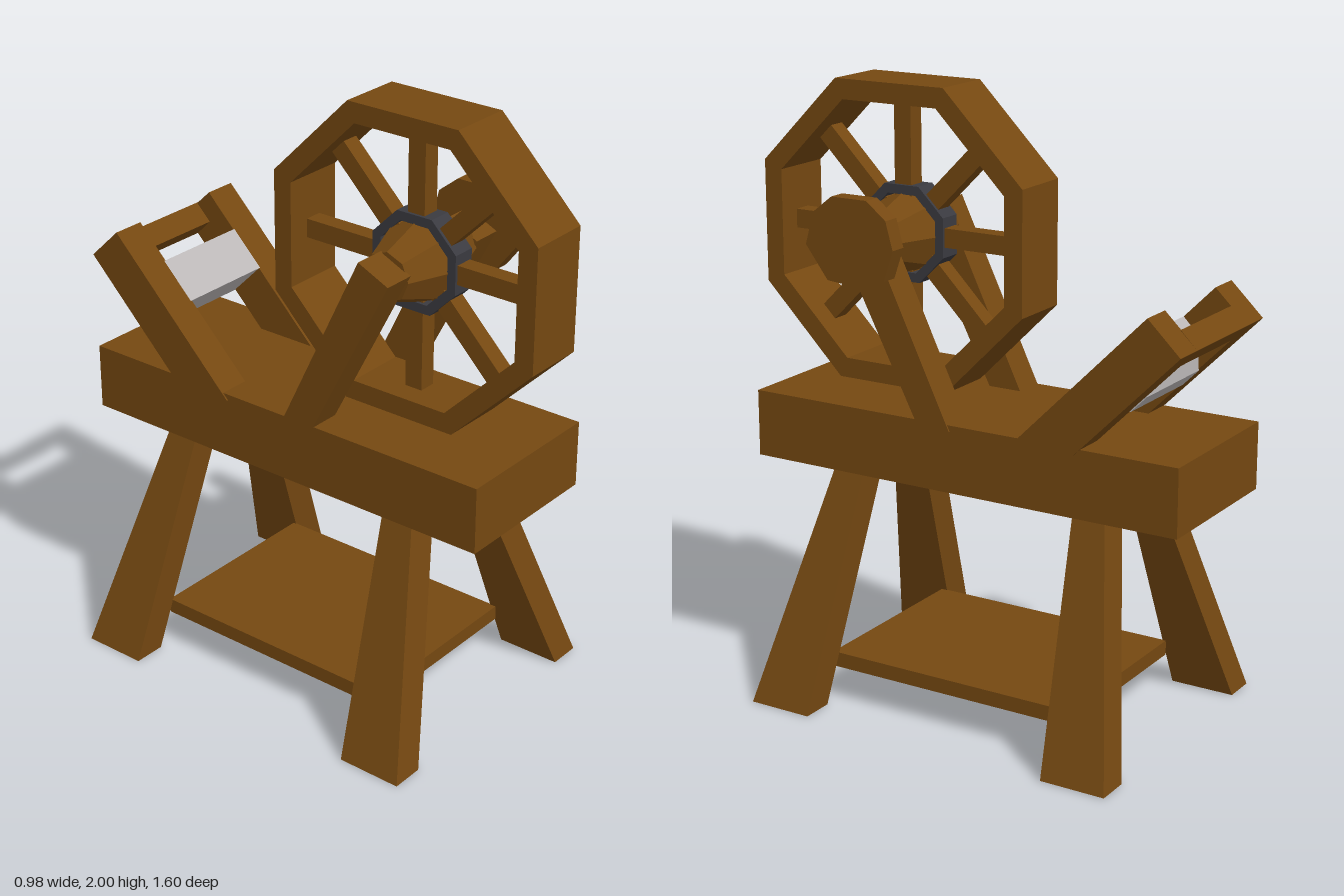
import * as THREE from 'three';

const mat = (color) => new THREE.MeshStandardMaterial({ color, flatShading: true, side: THREE.DoubleSide });
const wood = mat(0x754811), iron = mat(0x3a3a40), steel = mat(0xbcb8b8);

export function createModel() {
  const model = new THREE.Group();
  const add = (name, geo, material = wood, parent = model) => {
    const mesh = new THREE.Mesh(geo, material);
    mesh.name = name;
    parent.add(mesh);
    return mesh;
  };

  // Outline of [z, y] points swept from x0 to x1, with an optional hole
  const prism = (pts, x0, x1, hole) => {
    const vec = (list) => list.map(([z, y]) => new THREE.Vector2(-z, y));
    const shape = new THREE.Shape(vec(pts));
    if (hole) shape.holes.push(new THREE.Path(vec(hole)));
    const geo = new THREE.ExtrudeGeometry(shape, { depth: x1 - x0, bevelEnabled: false });
    return geo.rotateY(Math.PI / 2).translate(x0, 0, 0);
  };

  // Box with no underside, as a hollow shell
  const openBox = (w, h, d) => {
    const geo = new THREE.BoxGeometry(w, h, d);
    const index = Array.from(geo.index.array);
    index.splice(18, 6);
    geo.setIndex(index);
    geo.clearGroups();
    return geo;
  };

  // Regular octagon with flat sides up, by apothem
  const octagon = (apothem, z = 0, y = 0) => Array.from({ length: 8 }, (_, i) => {
    const a = (i + 0.5) * Math.PI / 4, r = apothem / Math.cos(Math.PI / 8);
    return [z + r * Math.cos(a), y + r * Math.sin(a)];
  });

  // Bench and lower shelf
  add('benchTop', openBox(0.54, 0.22, 1.53).translate(0, 0.88, -0.035));
  add('lowerShelf', openBox(0.65, 0.05, 0.88).translate(0, 0.14, -0.03));

  // Splayed legs that widen towards the foot
  for (const sx of [1, -1]) {
    for (const front of [true, false]) {
      const geo = openBox(1, 1, 1);
      const p = geo.attributes.position;
      for (let i = 0; i < p.count; i++) {
        const top = p.getY(i) > 0;
        const x = (top ? 0.165 : 0.435) * sx + p.getX(i) * 0.11;
        const mid = front ? (top ? 0.405 : 0.51) : (top ? -0.475 : -0.58);
        p.setXYZ(i, x, top ? 0.77 : 0, mid + p.getZ(i) * (top ? 0.11 : 0.22));
      }
      geo.computeVertexNormals();
      add(front ? 'frontLeg' : 'backLeg', geo);
    }
  }

  // Wheel: rim, spokes, hub and iron collar
  const wheel = new THREE.Group();
  wheel.name = 'wheel';
  wheel.position.set(0, 1.515, 0.315);
  model.add(wheel);
  add('rim', prism(octagon(0.485), -0.107, 0.107, octagon(0.42)), wood, wheel);
  for (let i = 0; i < 8; i++) {
    const spoke = add('spoke', new THREE.BoxGeometry(0.06, 0.34, 0.062).translate(0, 0.27, 0), wood, wheel);
    spoke.rotation.x = i * Math.PI / 4;
  }
  const hubProfile = [[0, -0.17], [0.08, -0.17], [0.135, -0.02], [0.135, 0.02], [0.08, 0.17], [0, 0.17]]
    .map(([r, h]) => new THREE.Vector2(r, h));
  add('hub', new THREE.LatheGeometry(hubProfile, 8).rotateZ(-Math.PI / 2), wood, wheel);
  add('hubCollar', prism(octagon(0.155), -0.04, 0.04, octagon(0.125)), iron, wheel);

  // Crank knob on the left end of the axle
  add('knob', prism([[0.38, 1.675], [0.25, 1.675], [0.18, 1.62], [0.155, 1.53], [0.19, 1.43],
    [0.28, 1.4], [0.4, 1.41], [0.48, 1.515], [0.45, 1.62]], 0.268, 0.327));

  // Leaning wheel posts and rear arms, one pair on each side
  for (const x0 of [0.165, -0.275]) {
    add('wheelPost', prism([[-0.01, 0.97], [0.105, 0.97], [0.4, 1.54], [0.29, 1.59]], x0, x0 + 0.11));
    add('rearArm', prism([[-0.235, 0.97], [-0.45, 0.97], [-0.8, 1.32], [-0.69, 1.425]], x0, x0 + 0.11));
  }

  // Crossbar and metal bobbin between the rear arms
  add('crossbar', prism([[-0.745, 1.375], [-0.8, 1.32], [-0.745, 1.265], [-0.69, 1.32]], -0.17, 0.17));
  add('bobbin', prism([[-0.585, 1.32], [-0.64, 1.265], [-0.64, 1.155], [-0.585, 1.1], [-0.475, 1.21]],
    -0.17, 0.17), steel);

  return model;
}
